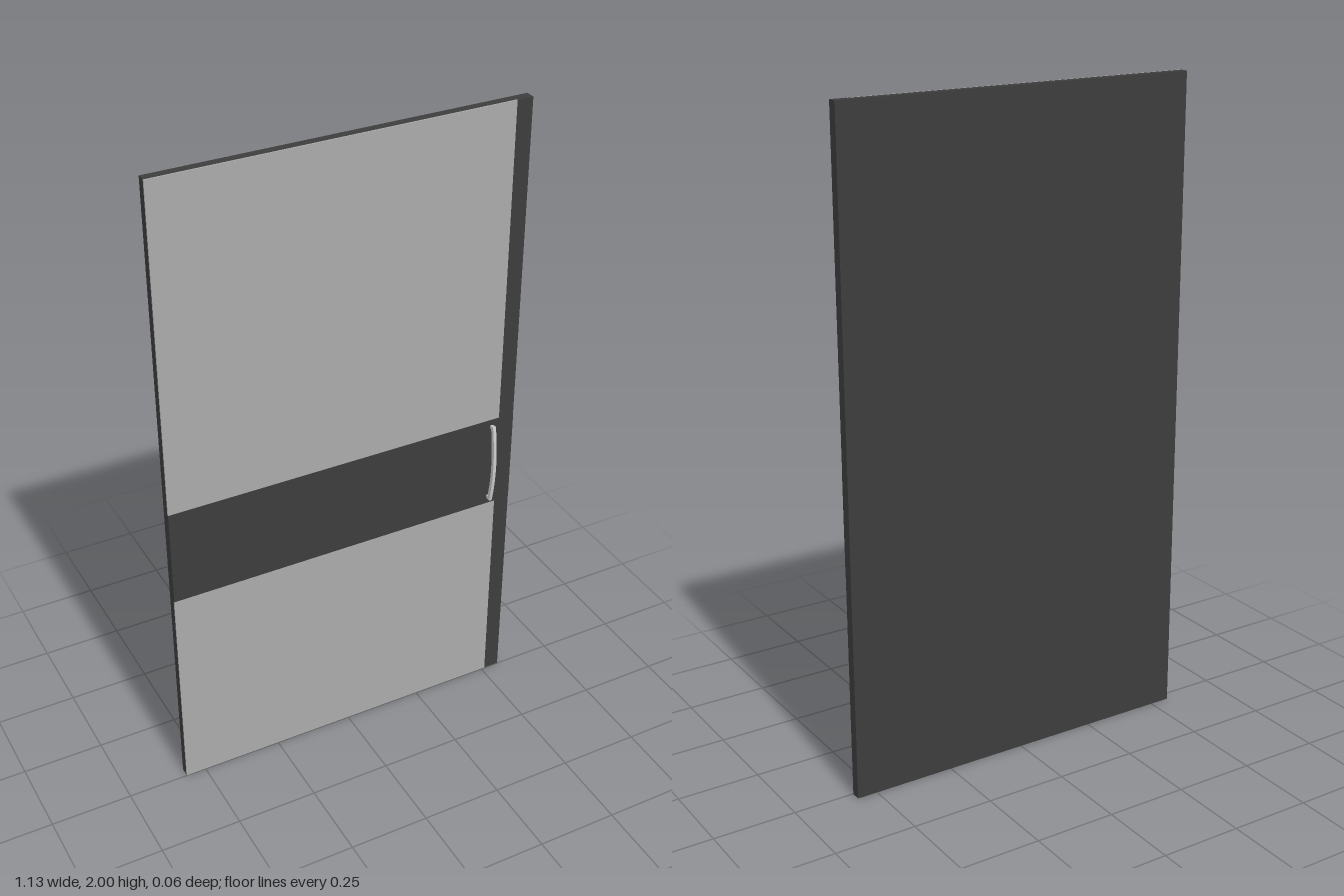
import * as THREE from 'three';

const paint = (color) => new THREE.MeshStandardMaterial({ color });

// Box given by its min and max corners
function slab(name, material, [x0, y0, z0], [x1, y1, z1]) {
  const mesh = new THREE.Mesh(new THREE.BoxGeometry(x1 - x0, y1 - y0, z1 - z0), material);
  mesh.position.set((x0 + x1) / 2, (y0 + y1) / 2, (z0 + z1) / 2);
  mesh.name = name;
  return mesh;
}

// Bowed pull handle: side profile in (z, y), extruded across x
function makeHandle(material) {
  const h = 0.135, post = 0.009;
  const s = new THREE.Shape();
  s.moveTo(-0.001, -h + 0.003);
  s.lineTo(0.017, -h);
  s.quadraticCurveTo(0.045, 0, 0.017, h);
  s.lineTo(-0.001, h - 0.003);
  s.lineTo(-0.001, h - 0.003 - post);
  s.lineTo(0.007, h - 0.003 - post);
  s.quadraticCurveTo(0.031, 0, 0.007, -h + 0.003 + post);
  s.lineTo(-0.001, -h + 0.003 + post);
  s.closePath();
  const width = 0.01;
  const geo = new THREE.ExtrudeGeometry(s, { depth: width, bevelEnabled: false, curveSegments: 16 });
  geo.translate(0, 0, -width / 2);
  geo.rotateY(-Math.PI / 2); // profile x becomes z
  const mesh = new THREE.Mesh(geo, material);
  mesh.name = 'handle';
  mesh.position.set(0.487, 0.839, 0);
  return mesh;
}

export function createModel() {
  const model = new THREE.Group();
  model.name = 'cabinetDoor';
  const dark = paint(0x3d3d3d), grey = paint(0xaaaaaa), metal = paint(0xcccccc);
  const W = 0.563, edge = 0.513, back = -0.031, seam = -0.005, front = -0.001;
  const bandLow = 0.685, bandHigh = 0.99;

  model.add(
    // Core board behind the facing
    slab('backBoard', dark, [-W, 0, back], [W, 2, seam]),
    // Facing: two light panels, an edge strip and the middle band
    slab('lowerPanel', grey, [-W, 0, seam], [edge, bandLow, front]),
    slab('upperPanel', grey, [-W, bandHigh, seam], [edge, 2, front]),
    slab('lowerEdgeStrip', dark, [edge, 0, seam], [W, bandLow, front]),
    slab('upperEdgeStrip', dark, [edge, bandHigh, seam], [W, 2, front]),
    slab('middleBand', dark, [-W, bandLow, seam], [W, bandHigh, 0]),
    makeHandle(metal),
  );
  return model;
}
